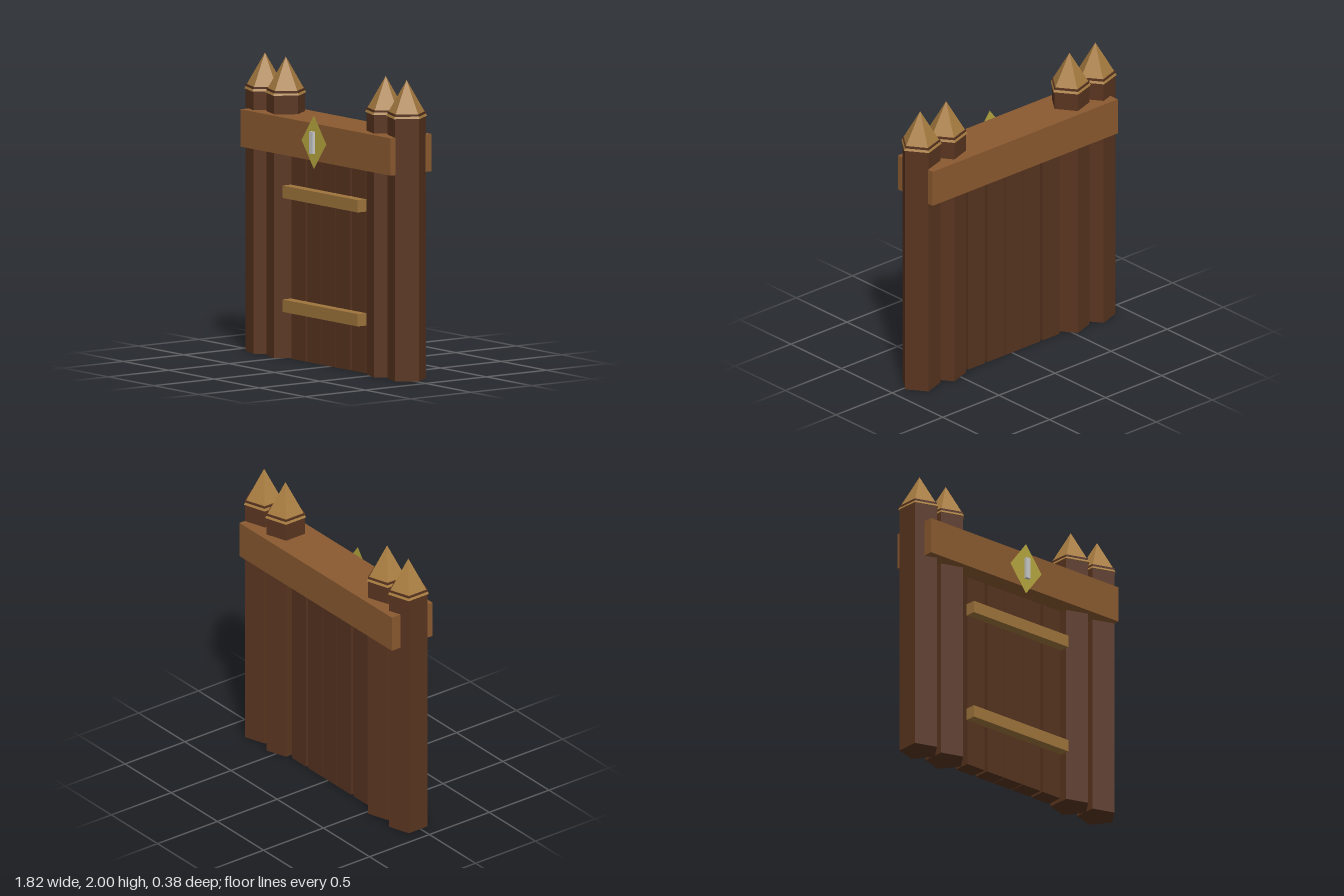
import * as THREE from 'three';

const mat = (color, side = THREE.FrontSide) =>
  new THREE.MeshStandardMaterial({ color, side, flatShading: true });

export function createModel() {
  const gate = new THREE.Group();
  gate.name = 'woodenGate';

  const postWood = mat(0x5a3520);
  const plankWood = mat(0x56331f);
  const beamWood = mat(0x8b5a30);
  const capWood = mat(0xa87c40);
  const barWood = mat(0x9e743c);
  const brass = mat(0xb8a840, THREE.DoubleSide);
  const grey = mat(0xcccccc);
  const midZ = -0.018;

  const add = (name, geometry, material, x, y, z, parent = gate) => {
    const mesh = new THREE.Mesh(geometry, material);
    mesh.name = name;
    mesh.position.set(x, y, z);
    parent.add(mesh);
    return mesh;
  };

  // Box given by its limits on each axis
  const addBox = (name, material, [x0, x1], [y0, y1], [z0, z1]) =>
    add(name, new THREE.BoxGeometry(x1 - x0, y1 - y0, z1 - z0), material,
      (x0 + x1) / 2, (y0 + y1) / 2, (z0 + z1) / 2);

  // Five-sided posts, one corner towards +x, with pointed caps pierced by the post rim
  const postH = 1.785, capBase = 1.755, capH = 2 - capBase;
  const postGeo = new THREE.CylinderGeometry(0.134, 0.134, postH, 5, 1, false, Math.PI / 2);
  const capGeo = new THREE.ConeGeometry(0.143, capH, 5, 1, false, Math.PI / 2);
  for (const x of [-0.795, -0.565, 0.535, 0.766]) {
    const post = new THREE.Group();
    post.name = 'post';
    post.position.set(x, 0, midZ);
    add('postShaft', postGeo, postWood, 0, postH / 2, 0, post);
    add('postCap', capGeo, capWood, 0, capBase + capH / 2, 0, post);
    gate.add(post);
  }

  // Lintel beam across the posts
  addBox('crossBeam', beamWood, [-0.84, 0.81], [1.38, 1.63], [-0.19, 0.15]);

  // Door planks
  for (const x of [-0.425, -0.25, -0.093, 0.066, 0.239]) {
    addBox('doorPlank', plankWood, [x, x + 0.152], [0, 1.365], [-0.075, 0.04]);
  }

  // Horizontal door battens
  for (const y of [0.32, 1.082]) {
    addBox('doorBatten', barWood, [-0.43, 0.4], [y, y + 0.083], [0.035, 0.112]);
  }

  // Thin diamond plate with a small upright bar in front of it
  const diamond = new THREE.Shape();
  diamond.moveTo(0, -0.18);
  diamond.lineTo(0.137, 0);
  diamond.lineTo(0, 0.18);
  diamond.lineTo(-0.137, 0);
  diamond.closePath();
  add('diamondPlate', new THREE.ShapeGeometry(diamond), brass, -0.016, 1.508, 0.162);
  addBox('plateBar', grey, [-0.034, 0.001], [1.432, 1.58], [0.167, 0.188]);

  return gate;
}
